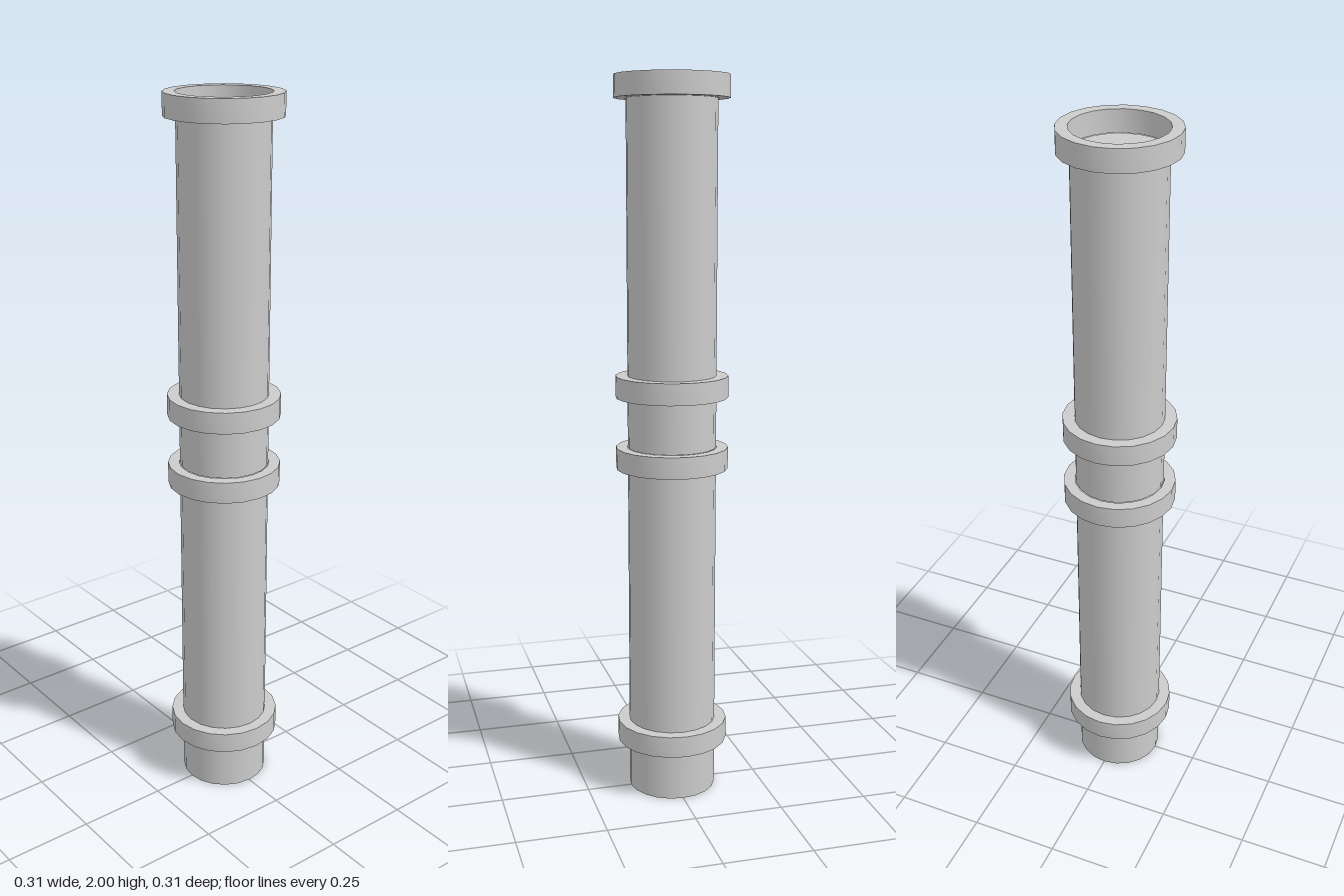
import * as THREE from 'three';
import { toCreasedNormals } from 'three/addons/utils/BufferGeometryUtils.js';

const SIDES = 20;
const PIPE_R = 0.123, BORE_R = 0.125, RING_R = 0.156;
const material = new THREE.MeshStandardMaterial({ color: 0xcccccc });

function mesh(name, geometry, y) {
  const m = new THREE.Mesh(geometry, material);
  m.name = name;
  m.position.y = y;
  return m;
}

// Square-section ring, hard edges and a smooth round wall
function ring(inner, outer, height) {
  const profile = [[inner, 0], [outer, 0], [outer, height], [inner, height], [inner, 0]]
    .map(([r, y]) => new THREE.Vector2(r, y));
  return toCreasedNormals(new THREE.LatheGeometry(profile, SIDES), 0.6);
}

// One pipe length: capped tube, stop collar and open socket on top
function pipeSection(name, y) {
  const section = new THREE.Group();
  section.name = name;
  section.position.y = y;
  section.add(
    mesh('tube', new THREE.CylinderGeometry(PIPE_R, PIPE_R, 0.94, SIDES), 0.47),
    mesh('collar', ring(PIPE_R, RING_R, 0.06), 0.14),
    mesh('socket', ring(BORE_R, RING_R, 0.06), 0.94),
  );
  return section;
}

export function createModel() {
  const model = new THREE.Group();
  model.name = 'pipe';
  model.add(pipeSection('lowerSection', 0), pipeSection('upperSection', 1));
  return model;
}
